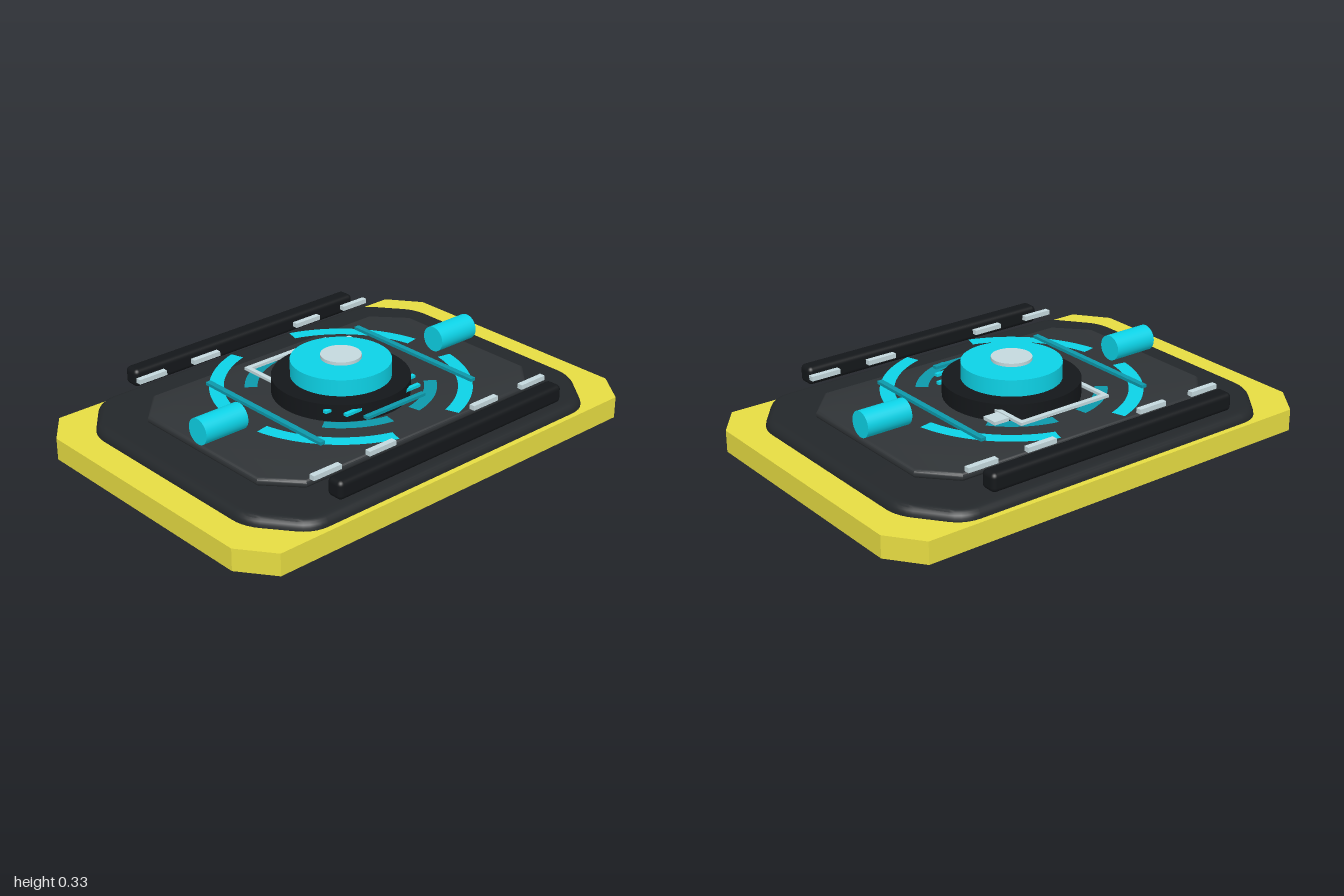
import * as THREE from 'three';
import { toCreasedNormals } from 'three/addons/utils/BufferGeometryUtils.js';
import { RoundedBoxGeometry } from 'three/addons/geometries/RoundedBoxGeometry.js';

const mat = (color, side = THREE.FrontSide) => new THREE.MeshStandardMaterial({ color, side });

// Rectangle with chamfered corners; each chamfer end is softened by r
function chamferedShape(hx, hz, cx, cz, r) {
  const pts = [
    [hx, -hz + cz], [hx, hz - cz], [hx - cx, hz], [-hx + cx, hz],
    [-hx, hz - cz], [-hx, -hz + cz], [-hx + cx, -hz], [hx - cx, -hz],
  ].map(([x, y]) => new THREE.Vector2(x, y));
  const shape = new THREE.Shape();
  pts.forEach((p, i) => {
    if (!r) {
      if (i) shape.lineTo(p.x, p.y); else shape.moveTo(p.x, p.y);
      return;
    }
    const toward = (q) => p.clone().add(q.clone().sub(p).setLength(r));
    const a = toward(pts[(i + 7) % 8]);
    const b = toward(pts[(i + 1) % 8]);
    if (i) shape.lineTo(a.x, a.y); else shape.moveTo(a.x, a.y);
    shape.quadraticCurveTo(p.x, p.y, b.x, b.y);
  });
  shape.closePath();
  return shape;
}

// Horizontal plate from y0 to y1, with an optional rounded edge
function plate(hx, hz, cx, cz, y0, y1, bevel, r) {
  const shape = chamferedShape(hx - bevel, hz - bevel, cx, cz, r);
  const geo = new THREE.ExtrudeGeometry(shape, {
    depth: y1 - y0 - 2 * bevel, bevelEnabled: bevel > 0, bevelSize: bevel,
    bevelThickness: bevel, bevelSegments: 5, curveSegments: 5,
  });
  geo.rotateX(-Math.PI / 2).translate(0, y0 + bevel, 0);
  return toCreasedNormals(geo, 0.6);
}

export function createModel() {
  const group = new THREE.Group();
  const yellow = mat(0xe6dc42);
  const body = mat(0x23272a);
  const deck = mat(0x2f3336);
  const black = mat(0x14171a);
  const cyan = mat(0x0cd2e6);
  const teal = mat(0x0c98aa);
  const pale = mat(0xc4d8dd);
  const cyanFlat = mat(0x0cd2e6, THREE.DoubleSide);
  const tealFlat = mat(0x0c98aa, THREE.DoubleSide);

  const add = (name, geo, material, x = 0, y = 0, z = 0) => {
    const mesh = new THREE.Mesh(geo, material);
    mesh.name = name;
    mesh.position.set(x, y, z);
    group.add(mesh);
    return mesh;
  };
  const box = (name, material, w, h, d, x, y, z) =>
    add(name, new THREE.BoxGeometry(w, h, d), material, x, y, z);
  const disc = (name, material, r, y0, y1) =>
    add(name, new THREE.CylinderGeometry(r, r, y1 - y0, 48), material, 0, (y0 + y1) / 2, 0);

  // Stacked plates
  add('basePlate', plate(1, 0.683, 0.105, 0.14, 0.001, 0.093, 0, 0), yellow);
  add('bodyPlate', plate(0.877, 0.66, 0.14, 0.18, 0, 0.13, 0.036, 0.05), body);
  add('deckPlate', plate(0.712, 0.468, 0.115, 0.125, 0.138, 0.173, 0.016, 0), deck);

  // Central hub
  disc('hubSpacer', yellow, 0.245, 0.125, 0.15);
  disc('hubRing', black, 0.28, 0.17, 0.245);
  disc('hubDrum', cyan, 0.204, 0.24, 0.314);
  disc('hubCap', pale, 0.083, 0.319, 0.333);

  // Flat arc segments around the hub, four of each
  const arc = (name, r0, r1, from, to, material, y) => {
    for (let q = 0; q < 4; q++) {
      const a = q % 2 ? 90 - to : from;
      const start = THREE.MathUtils.degToRad(a + q * 90);
      const sweep = THREE.MathUtils.degToRad(to - from);
      const geo = new THREE.RingGeometry(r0, r1, 20, 1, start, sweep).rotateX(-Math.PI / 2);
      add(name, geo, material, 0, y, 0);
    }
  };
  arc('outerArc', 0.468, 0.527, 11, 72.5, cyanFlat, 0.205);
  arc('innerArc', 0.333, 0.385, 37, 80, tealFlat, 0.2);

  for (const s of [-1, 1]) {
    // Long rails at front and back
    add('rail', new RoundedBoxGeometry(1.18, 0.077, 0.074, 4, 0.02), black, 0, 0.2, s * 0.613);
    // Side barrels
    const barrel = add('sideBarrel', new THREE.CylinderGeometry(0.054, 0.054, 0.2, 32), cyan, s * 0.62, 0.237, 0);
    barrel.rotation.z = Math.PI / 2;
    // Side strips running front to back
    box('sideStrip', teal, 0.024, 0.013, 0.69, s * 0.402, 0.211, 0);
    // Pale dashes along the rails
    for (const x of [-0.547, -0.275, 0.275, 0.547]) {
      box('dash', pale, 0.134, 0.02, 0.024, x, 0.22, s * 0.525);
    }
    // Legs of the open frame behind the hub
    box('frameLeg', pale, 0.02, 0.012, 0.17, s * 0.209, 0.217, -0.255);
  }
  box('frameBar', pale, 0.438, 0.012, 0.022, 0, 0.217, -0.329);
  box('frameBlock', pale, 0.068, 0.014, 0.07, 0.264, 0.22, -0.243);

  // Short bars in front of the hub
  box('gaugeBar', cyan, 0.48, 0.012, 0.018, 0, 0.22, 0.172);
  box('gaugeBar', cyan, 0.395, 0.012, 0.018, 0, 0.22, 0.244);
  box('gaugeBar', teal, 0.31, 0.012, 0.022, 0, 0.22, 0.312);

  return group;
}
